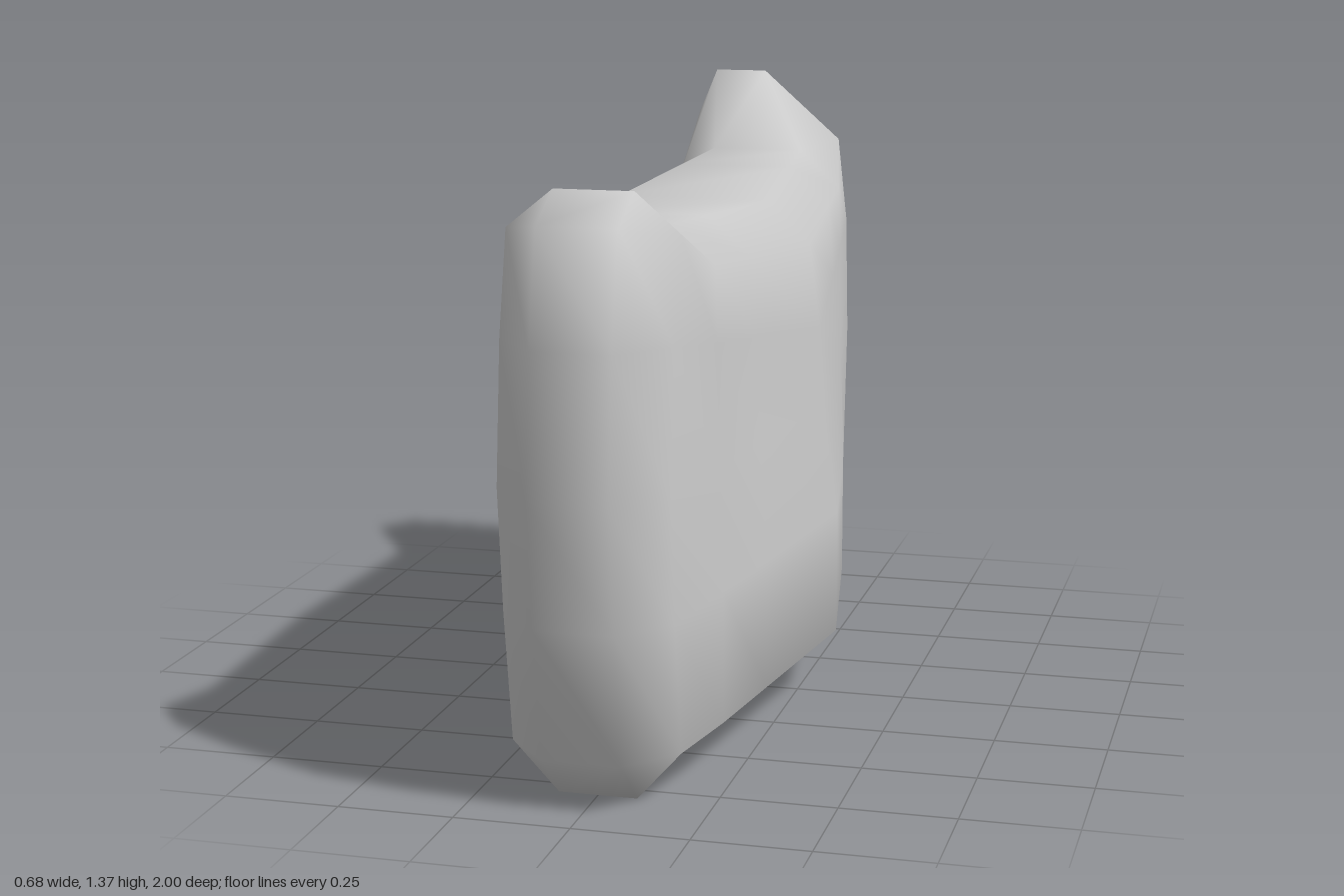
import * as THREE from 'three';
import { mergeVertices } from 'three/addons/utils/BufferGeometryUtils.js';

const LEVELS = 5;
const lerp = THREE.MathUtils.lerp;

// Profile of the side walls at mid-length, from bottom to top
const MID_Y = [0.15, 0.43, 0.68, 0.86, 1.055];
const MID_W = [0.34, 0.34, 0.305, 0.295, 0.27];
// Bulge of both end faces along z
const END_Z = [0.92, 0.97, 1, 0.97, 0.92];

// The two ends; the back horn is taller and leans to the right side (-x)
const FRONT = {
  sign: 1, y: [0.11, 0.4, 0.67, 0.97, 1.21], left: 1.19, right: 1.19,
  bottom: 0.0, peak: 1.27, saddle: 1.18, shoulder: 1.1, lean: 0, half: 0.085,
};
const BACK = {
  sign: -1, y: [0.11, 0.4, 0.7, 0.99, 1.28], left: 1.2, right: 1.26,
  bottom: 0.01, peak: 1.37, saddle: 1.19, shoulder: 1.1, lean: -0.083, half: 0.063,
};

// Closed ring: bottom, up the left wall, across the top, down the right wall
function ring(bottom, wall, top) {
  const pts = [bottom(1)];
  for (let k = 0; k < LEVELS; k++) pts.push(wall(1, k));
  pts.push(top(1), top(-1));
  for (let k = LEVELS - 1; k >= 0; k--) pts.push(wall(-1, k));
  pts.push(bottom(-1));
  return pts;
}

// Narrow end face; its first and last points double up to close the corners
function endRing(e) {
  const wall = (s, k) => {
    const lean = k === 4 ? e.lean * 0.75 : k === 3 ? e.lean * 0.2 : 0;
    return [s * 0.085 + lean, e.y[k], e.sign * END_Z[k]];
  };
  return ring((s) => wall(s, 0), wall, (s) => wall(s, 4));
}

// Rounded corner behind the end face, reaching the tip of the horn
function cornerRing(e) {
  return ring(
    (s) => [s * 0.085, e.bottom, e.sign * 0.8],
    (s, k) => {
      const y = k === 4 ? (s > 0 ? e.left : e.right) : e.y[k];
      const x = s * 0.182 + (k === 4 ? e.lean * 0.15 : 0);
      return [x, y, e.sign * (END_Z[k] - 0.11)];
    },
    (s) => [s * e.half + e.lean, e.peak, e.sign * 0.8],
  );
}

// Body section at a distance z from the middle
function bodyRing(e, z) {
  const t = z / 0.88, u = z / 0.63;
  const bottom = z > 0.4 ? lerp(0.045, e.bottom, (z - 0.4) / 0.4) : lerp(0.055, 0.045, z / 0.4);
  return ring(
    (s) => [s * lerp(0.17, 0.085, z / 0.8), bottom, e.sign * z],
    (s, k) => [
      s * lerp(MID_W[k], 0.182, t),
      k === 4 ? lerp(MID_Y[4], e.shoulder, u) : lerp(MID_Y[k], e.y[k], t),
      e.sign * z,
    ],
    (s) => [s * lerp(0.175, 0.11, u), lerp(1.15, e.saddle, u), e.sign * z],
  );
}

function shellGeometry() {
  const half = (e) => [endRing(e), cornerRing(e), bodyRing(e, 0.63), bodyRing(e, 0.4)];
  const rings = [...half(FRONT), bodyRing(FRONT, 0), ...half(BACK).reverse()];
  const n = rings[0].length;
  const index = [];

  // Skin between neighbouring rings
  for (let i = 0; i < rings.length - 1; i++) {
    for (let j = 0; j < n; j++) {
      const j2 = (j + 1) % n;
      const a = i * n + j, b = i * n + j2, d = a + n, c = b + n;
      index.push(a, d, b, b, d, c);
    }
  }
  // End faces
  const last = (rings.length - 1) * n;
  for (let k = 1; k < LEVELS; k++) {
    const l0 = k, l1 = k + 1, r0 = n - 1 - k, r1 = n - 2 - k;
    index.push(l0, l1, r1, l0, r1, r0);
    index.push(last + l0, last + r1, last + l1, last + l0, last + r0, last + r1);
  }

  let geo = new THREE.BufferGeometry();
  geo.setAttribute('position', new THREE.Float32BufferAttribute(rings.flat(2), 3));
  geo.setIndex(index);
  geo = mergeVertices(geo, 1e-4);
  // Drop the collapsed corner triangles
  const src = geo.index.array, kept = [];
  for (let i = 0; i < src.length; i += 3) {
    const [a, b, c] = [src[i], src[i + 1], src[i + 2]];
    if (a !== b && b !== c && a !== c) kept.push(a, b, c);
  }
  geo.setIndex(kept);
  geo.computeVertexNormals();
  return geo;
}

export function createModel() {
  const group = new THREE.Group();
  group.name = 'saddleShapedBlock';
  const body = new THREE.Mesh(
    shellGeometry(),
    new THREE.MeshStandardMaterial({ color: 0xcccccc }),
  );
  body.name = 'body';
  group.add(body);
  return group;
}
